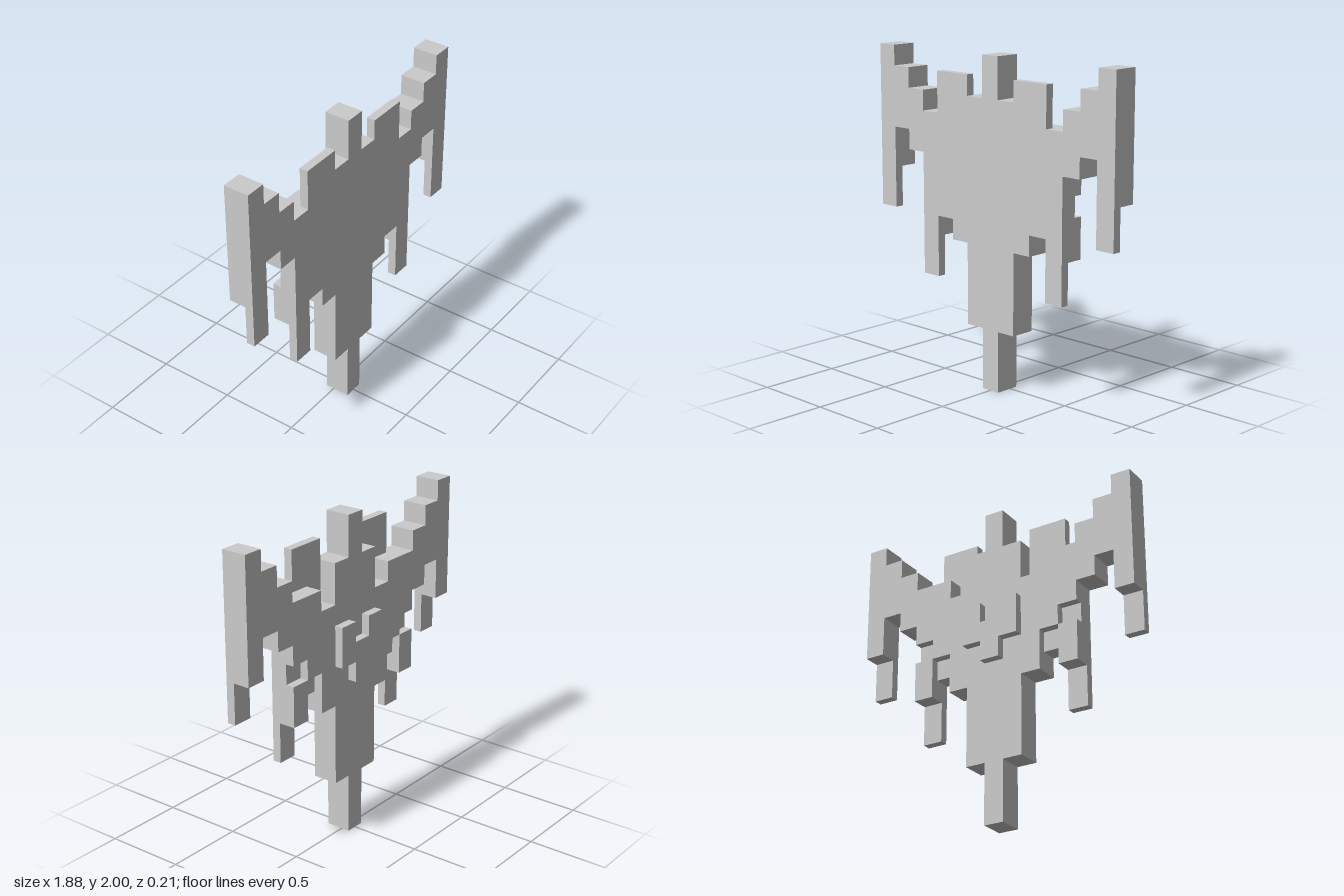
import * as THREE from 'three';

const U = 0.125;    // grid step across and up
const D = 0.0525;   // thickness of one layer
const mat = new THREE.MeshStandardMaterial({ color: 0xcccccc, flatShading: true });

// Mirrored stepped plate; cols lists [bottom, top] in grid steps from the centre column outwards
function steppedPlate(name, cols, z0) {
  const n = cols.length - 1, top = [], bottom = [];
  for (let c = -n; c <= n; c++) {
    const [lo, hi] = cols[Math.abs(c)];
    top.push([c - 0.5, hi], [c + 0.5, hi]);
    bottom.push([c - 0.5, lo], [c + 0.5, lo]);
  }
  // drop repeated points where neighbouring columns are level
  const pts = [...bottom, ...top.reverse()]
    .filter((p, i, a) => i === 0 || p[0] !== a[i - 1][0] || p[1] !== a[i - 1][1])
    .map(([x, y]) => new THREE.Vector2(x * U, y * U));
  const geo = new THREE.ExtrudeGeometry(new THREE.Shape(pts), { depth: D, bevelEnabled: false });
  geo.translate(0, 0, z0);
  const mesh = new THREE.Mesh(geo, mat);
  mesh.name = name;
  return mesh;
}

export function createModel() {
  const group = new THREE.Group();
  group.name = 'steppedEmblem';

  // front plate: full outline with long thin legs and raised shoulder panels
  group.add(steppedPlate('frontPlate',
    [[0, 16], [3, 14], [7, 15], [8, 15], [5, 13], [11, 14], [12, 15], [8, 16]], D));
  // middle plate: lower shoulders, shorter legs
  group.add(steppedPlate('middlePlate',
    [[0, 16], [3, 14], [7, 12], [8, 13], [7, 13], [11, 14], [12, 15], [10, 16]], 0));
  // back plate: stepped underside
  group.add(steppedPlate('backPlate',
    [[0, 16], [3, 14], [7, 12], [9, 13], [10, 13], [11, 14], [12, 15], [10, 16]], -D));
  // raised fork-shaped boss on the back
  group.add(steppedPlate('backBoss', [[8, 10], [9, 11]], -2 * D));

  // small blocks behind the inner legs
  for (const s of [-1, 1]) {
    const block = new THREE.Mesh(new THREE.BoxGeometry(U, 2 * U, D), mat);
    block.position.set(s * 4 * U, 8 * U, -D / 2);
    block.name = s > 0 ? 'leftLegBlock' : 'rightLegBlock';
    group.add(block);
  }
  return group;
}
